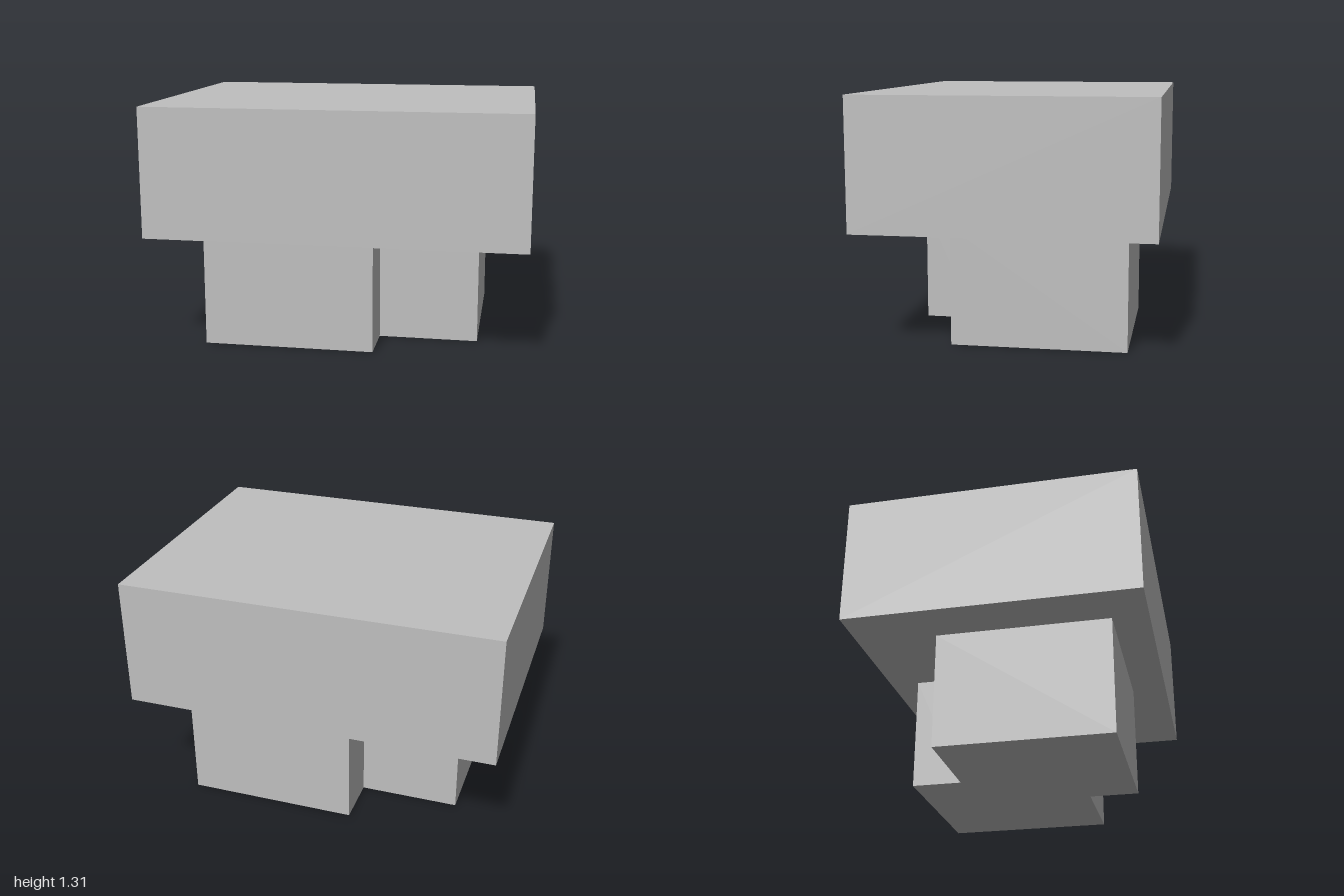
import * as THREE from 'three';

export function createModel() {
  const model = new THREE.Group();
  const grey = new THREE.MeshStandardMaterial({ color: 0xbfbfbf });
  grey.name = 'light grey';

  const baseHeight = 0.62, topHeight = 0.69;

  // Stepped base: a rectangle notched at two opposite corners, outline in x, z
  const outline = [
    [-0.73, 0.58], [0.19, 0.58], [0.19, 0.31], [0.73, 0.31],
    [0.73, -0.61], [-0.19, -0.61], [-0.19, -0.34], [-0.73, -0.34],
  ];
  const shape = new THREE.Shape(outline.map(([x, z]) => new THREE.Vector2(x, z)));
  const baseGeometry = new THREE.ExtrudeGeometry(shape, { depth: baseHeight, bevelEnabled: false });
  baseGeometry.rotateX(Math.PI / 2).translate(0, baseHeight, 0);
  const base = new THREE.Mesh(baseGeometry, grey);
  base.name = 'steppedBase';
  model.add(base);

  // Wide overhanging block on top
  const top = new THREE.Mesh(new THREE.BoxGeometry(2, topHeight, 1.535), grey);
  top.name = 'upperBlock';
  top.position.y = baseHeight + topHeight / 2;
  model.add(top);

  return model;
}
